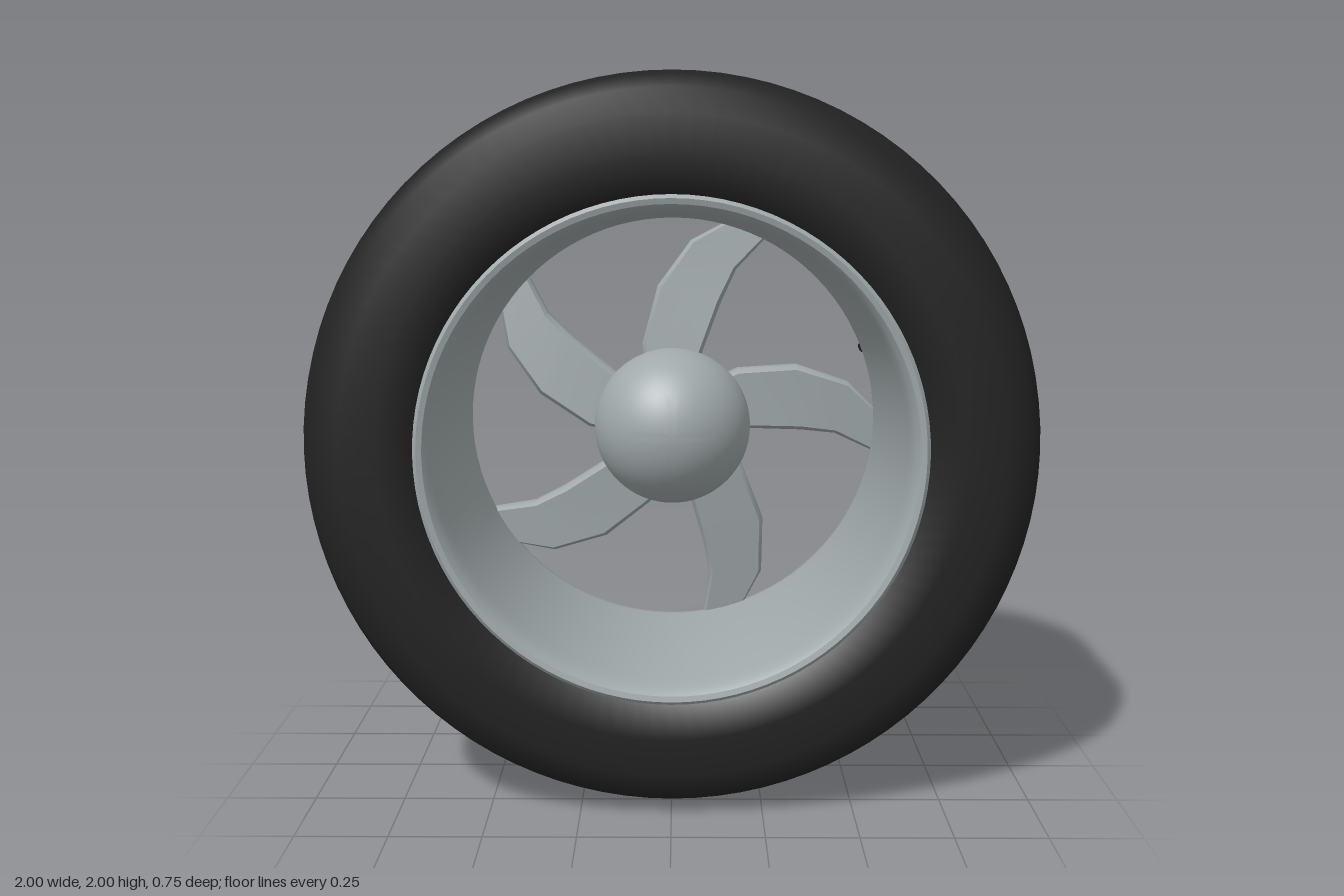
import * as THREE from 'three';
import { toCreasedNormals } from 'three/addons/utils/BufferGeometryUtils.js';

const material = (name, color) => {
  const m = new THREE.MeshStandardMaterial({ color });
  m.name = name;
  return m;
};

// Revolves [radius, z] points about the wheel axis; outer surface runs towards +z
function revolve(points, segments, crease) {
  const g = new THREE.LatheGeometry(points.map(p => new THREE.Vector2(p[0], p[1])), segments);
  g.rotateX(Math.PI / 2);
  return crease ? toCreasedNormals(g, crease) : g;
}

// Curved spoke lofted through stations: left x, y, right x, y, front z, back z
function spokeGeometry() {
  const stations = [
    [-0.08, 0.15, 0.07, 0.14, -0.19, -0.34],
    [-0.09, 0.235, 0.09, 0.215, -0.2, -0.345],
    [-0.045, 0.405, 0.145, 0.36, -0.22, -0.355],
    [0.055, 0.54, 0.19, 0.455, -0.24, -0.365],
    [0.19, 0.61, 0.295, 0.565, -0.26, -0.37],
  ];
  const section = [[0.06, 0], [0.94, 0], [1, 0.12], [1, 0.5], [0.9, 0.82], [0.7, 1], [0.3, 1], [0.1, 0.82], [0, 0.5], [0, 0.12]];
  const n = section.length;
  const pos = [];
  const idx = [];
  for (const [lx, ly, rx, ry, zf, zb] of stations) {
    for (const [u, w] of section) pos.push(lx + (rx - lx) * u, ly + (ry - ly) * u, zf + (zb - zf) * w);
  }
  for (let i = 0; i < stations.length - 1; i++) {
    for (let j = 0; j < n; j++) {
      const a = i * n + j, b = i * n + (j + 1) % n;
      idx.push(a, b, b + n, a, b + n, a + n);
    }
  }
  // Outer end cap
  const tip = (stations.length - 1) * n;
  for (let j = 1; j < n - 1; j++) idx.push(tip, tip + j, tip + j + 1);
  const g = new THREE.BufferGeometry();
  g.setAttribute('position', new THREE.Float32BufferAttribute(pos, 3));
  g.setIndex(idx);
  return toCreasedNormals(g, 0.65);
}

export function createModel() {
  const rubber = material('black rubber', 0x222222);
  const metal = material('silver grey metal', 0xa0a8aa);
  const black = material('black plastic', 0x1a1a1a);

  const wheel = new THREE.Group();
  wheel.name = 'wheel';
  wheel.position.y = 1;
  const add = (name, geometry, mat) => {
    const mesh = new THREE.Mesh(geometry, mat);
    mesh.name = name;
    wheel.add(mesh);
    return mesh;
  };

  // Tyre: closed ring with chamfered shoulders
  add('tyre', revolve([
    [0.645, -0.3], [0.645, -0.36], [0.66, -0.372], [0.78, -0.375], [0.88, -0.375], [0.95, -0.355],
    [0.988, -0.275], [1, -0.22], [1, 0], [1, 0.22], [0.988, 0.275], [0.95, 0.355],
    [0.88, 0.375], [0.78, 0.375], [0.68, 0.37], [0.67, 0.3], [0.665, 0], [0.645, -0.3],
  ], 96), rubber);

  // Rim: rounded front lip, tapering barrel, small flare at the back
  add('rim', revolve([
    [0.65, -0.36], [0.655, -0.25], [0.66, 0.3], [0.68, 0.35], [0.68, 0.37], [0.67, 0.38], [0.655, 0.376],
    [0.643, 0.36], [0.637, 0.335], [0.63, 0.3], [0.607, -0.25], [0.61, -0.28],
    [0.635, -0.31], [0.637, -0.355], [0.65, -0.36],
  ], 96, 0.6), metal);

  // Hub: ringed back plate and domed front
  const hub = [
    [0, -0.362], [0.165, -0.362], [0.168, -0.352], [0.178, -0.352], [0.181, -0.362],
    [0.198, -0.352], [0.21, -0.325], [0.21, -0.2], [0.225, -0.19],
  ];
  for (let i = 0; i <= 14; i++) {
    const a = (i / 14) * Math.PI / 2;
    hub.push([i === 14 ? 0 : 0.23 * Math.cos(a), -0.15 + 0.23 * Math.sin(a)]);
  }
  add('hub', revolve(hub, 64, 0.6), metal);

  // Black centre of the back plate
  add('hubCentre', revolve([[0, -0.369], [0.092, -0.369], [0.094, -0.36]], 40, 0.6), black);

  // Five curved spokes
  const spoke = spokeGeometry();
  for (let i = 0; i < 5; i++) {
    add('spoke' + (i + 1), spoke, metal).rotation.z = -i * Math.PI * 2 / 5;
  }

  // Valve tucked inside the back edge of the rim
  const valve = add('valve', new THREE.CylinderGeometry(0.009, 0.014, 0.07, 12), black);
  valve.rotation.x = -Math.PI / 2;
  valve.position.set(0.578, 0.215, -0.325);

  const model = new THREE.Group();
  model.name = 'model';
  model.add(wheel);
  return model;
}
